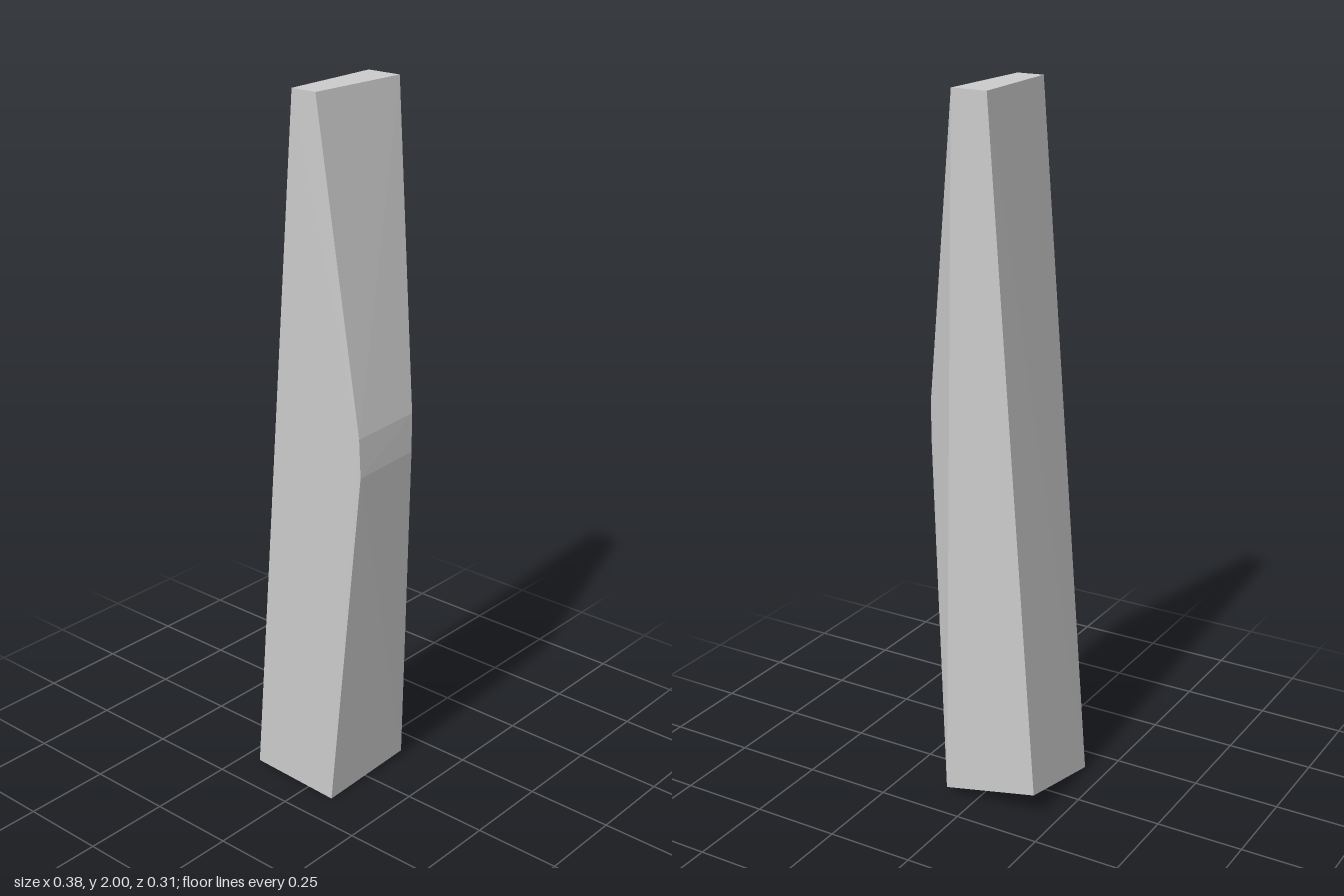
import * as THREE from 'three';
import { ConvexGeometry } from 'three/addons/geometries/ConvexGeometry.js';

export function createModel() {
  const group = new THREE.Group();
  group.name = 'stoneShard';

  // Corners of the faceted shard, ring by ring
  const corners = [
    // uneven base
    [-0.19, 0.01, 0.153], [0.09, 0, 0.153], [0.095, 0.015, -0.153], [-0.19, 0.075, -0.153],
    // bulge on the left side, with the chamfered back corner
    [0.188, 1.13, 0.153], [0.19, 1.02, 0.149], [0.19, 1.14, -0.06], [0.19, 1.03, -0.06],
    // narrow flat top
    [-0.033, 2, 0.153], [0.045, 2, 0.153], [0.058, 2, -0.153], [-0.045, 2, -0.153],
  ].map((p) => new THREE.Vector3(...p));

  const shard = new THREE.Mesh(
    new ConvexGeometry(corners),
    new THREE.MeshStandardMaterial({ color: 0xcccccc, flatShading: true })
  );
  shard.name = 'shard';
  group.add(shard);
  return group;
}
